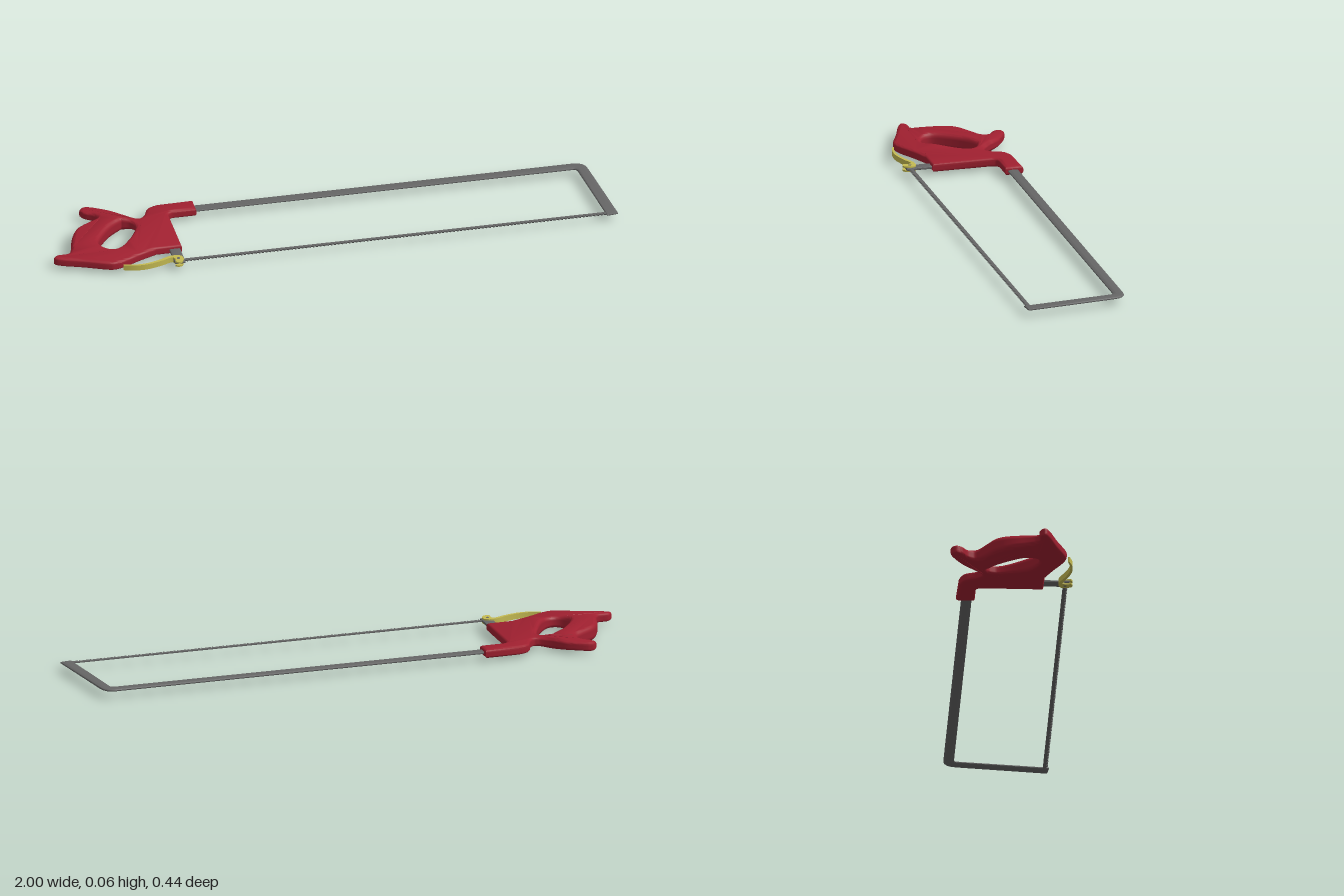
import * as THREE from 'three';
import { toCreasedNormals } from 'three/addons/utils/BufferGeometryUtils.js';

const MID = 0.029; // height of the saw's centre plane as it lies flat
const red = new THREE.MeshStandardMaterial({ color: 0xa02030 });
const steel = new THREE.MeshStandardMaterial({ color: 0x666666 });
const brass = new THREE.MeshStandardMaterial({ color: 0xc4ba52 });

const vecs = (list) => list.map(([x, z]) => new THREE.Vector2(x, z));

// Extrudes an (x, z) outline to a plate centred on y = 0, optionally with rounded edges
function plate(shape, thick, bevelT = 0, bevelS = 0, creaseAngle = 0.7) {
  const depth = thick - 2 * bevelT;
  const g = new THREE.ExtrudeGeometry(shape, {
    depth, curveSegments: 4, bevelEnabled: bevelT > 0, bevelThickness: bevelT,
    bevelSize: bevelS, bevelOffset: -bevelS, bevelSegments: 4,
  });
  g.translate(0, 0, -depth / 2);
  g.rotateX(Math.PI / 2);
  return toCreasedNormals(g, creaseAngle);
}

function add(group, name, geometry, material, y = MID) {
  const mesh = new THREE.Mesh(geometry, material);
  mesh.name = name;
  mesh.position.y = y;
  group.add(mesh);
  return mesh;
}

function handleGeometry() {
  const s = new THREE.Shape();
  s.moveTo(-0.44, -0.185);
  s.lineTo(-0.57, -0.182);
  // Back of the hand: horn, grip and lower tail
  s.splineThru(vecs([
    [-0.607, -0.165], [-0.628, -0.122], [-0.655, -0.105], [-0.70, -0.136], [-0.74, -0.18],
    [-0.795, -0.215], [-0.826, -0.221], [-0.842, -0.202], [-0.83, -0.18], [-0.80, -0.158],
    [-0.794, -0.13], [-0.826, -0.105], [-0.88, -0.067], [-0.91, -0.013], [-0.927, 0.05],
    [-0.942, 0.08], [-0.982, 0.083], [-0.999, 0.102], [-0.976, 0.12], [-0.90, 0.148],
    [-0.825, 0.18], [-0.795, 0.185], [-0.757, 0.174], [-0.70, 0.145], [-0.634, 0.116],
  ]));
  // Front edge and frame socket
  s.lineTo(-0.543, 0.115);
  s.lineTo(-0.543, -0.10);
  s.quadraticCurveTo(-0.54, -0.12, -0.516, -0.12);
  s.lineTo(-0.44, -0.12);
  s.closePath();

  // Finger opening
  const hole = new THREE.Path();
  hole.moveTo(-0.714, -0.094);
  hole.splineThru(vecs([
    [-0.682, -0.08], [-0.676, -0.04], [-0.72, 0.045], [-0.762, 0.086], [-0.803, 0.083],
    [-0.826, 0.05], [-0.81, 0.008], [-0.762, -0.056], [-0.714, -0.094],
  ]));
  s.holes.push(hole);

  // Swell the grip: thickest around the opening, thin at the tips
  const g = plate(s, 0.033, 0.011, 0.014, 0.8);
  const p = g.attributes.position;
  const step = THREE.MathUtils.smoothstep;
  for (let i = 0; i < p.count; i++) {
    const x = p.getX(i), z = p.getZ(i);
    const wx = step(x, -0.95, -0.88) * (1 - step(x, -0.73, -0.65));
    const wz = step(z, -0.2, -0.07) * (1 - step(z, 0.05, 0.13));
    p.setY(i, p.getY(i) * (1 + 0.73 * wx * wz));
  }
  g.deleteAttribute('normal');
  return toCreasedNormals(g, 0.8);
}

function frameGeometry() {
  // Long back bar bending into the front leg
  const s = new THREE.Shape();
  s.moveTo(-0.46, -0.167);
  s.lineTo(0.915, -0.167);
  s.quadraticCurveTo(0.958, -0.167, 0.962, -0.12);
  s.lineTo(0.999, 0.2);
  s.lineTo(0.958, 0.205);
  s.lineTo(0.923, -0.118);
  s.quadraticCurveTo(0.921, -0.13, 0.908, -0.13);
  s.lineTo(-0.46, -0.13);
  s.closePath();
  return plate(s, 0.01, 0.004, 0.012);
}

function bladeGeometry() {
  // Straight back with a row of teeth on the +z edge
  const x0 = -0.575, x1 = 0.972, teeth = 120, pitch = (x1 - x0) / teeth;
  const s = new THREE.Shape();
  s.moveTo(x1, 0.183);
  s.lineTo(x0, 0.183);
  for (let i = 0; i < teeth; i++) {
    s.lineTo(x0 + i * pitch, 0.193);
    s.lineTo(x0 + (i + 0.7) * pitch, 0.2);
  }
  s.lineTo(x1, 0.193);
  s.closePath();
  return plate(s, 0.004);
}

function leverArmGeometry() {
  // Thin curved strip: offset a centre curve to both sides
  const curve = new THREE.SplineCurve(vecs([
    [-0.77, 0.194], [-0.735, 0.204], [-0.69, 0.205], [-0.64, 0.192], [-0.6, 0.175], [-0.575, 0.174],
  ]));
  const n = 20, sideA = [], sideB = [];
  for (let i = 0; i <= n; i++) {
    const p = curve.getPoint(i / n), t = curve.getTangent(i / n);
    const w = 0.003 + 0.004 * (i / n);
    sideA.push(new THREE.Vector2(p.x - t.y * w, p.y + t.x * w));
    sideB.unshift(new THREE.Vector2(p.x + t.y * w, p.y - t.x * w));
  }
  return plate(new THREE.Shape([...sideA, ...sideB]), 0.02);
}

export function createModel() {
  const saw = new THREE.Group();
  saw.name = 'hacksaw';

  add(saw, 'handle', handleGeometry(), red);
  add(saw, 'frame', frameGeometry(), steel);
  add(saw, 'blade', bladeGeometry(), steel);

  // Short post under the handle that holds the rear end of the blade
  const post = new THREE.Shape(vecs([[-0.588, 0.1], [-0.55, 0.1], [-0.55, 0.206], [-0.588, 0.206]]));
  add(saw, 'bladePost', plate(post, 0.01, 0.003, 0.005), steel);

  // Tension lever with a forked head on both sides of the post
  const lever = new THREE.Group();
  lever.name = 'tensionLever';
  saw.add(lever);
  add(lever, 'leverArm', leverArmGeometry(), brass);
  const lug = new THREE.Shape();
  lug.moveTo(-0.594, 0.17);
  lug.quadraticCurveTo(-0.57, 0.16, -0.556, 0.178);
  lug.quadraticCurveTo(-0.55, 0.196, -0.562, 0.212);
  lug.quadraticCurveTo(-0.574, 0.222, -0.588, 0.21);
  lug.lineTo(-0.584, 0.192);
  lug.closePath();
  for (const side of [-1, 1]) add(lever, 'leverLug', plate(lug, 0.006), brass, MID + side * 0.007);
  const pin = add(lever, 'leverPin', new THREE.CylinderGeometry(0.006, 0.006, 0.021, 12), steel);
  pin.position.set(-0.572, MID, 0.19);

  return saw;
}
